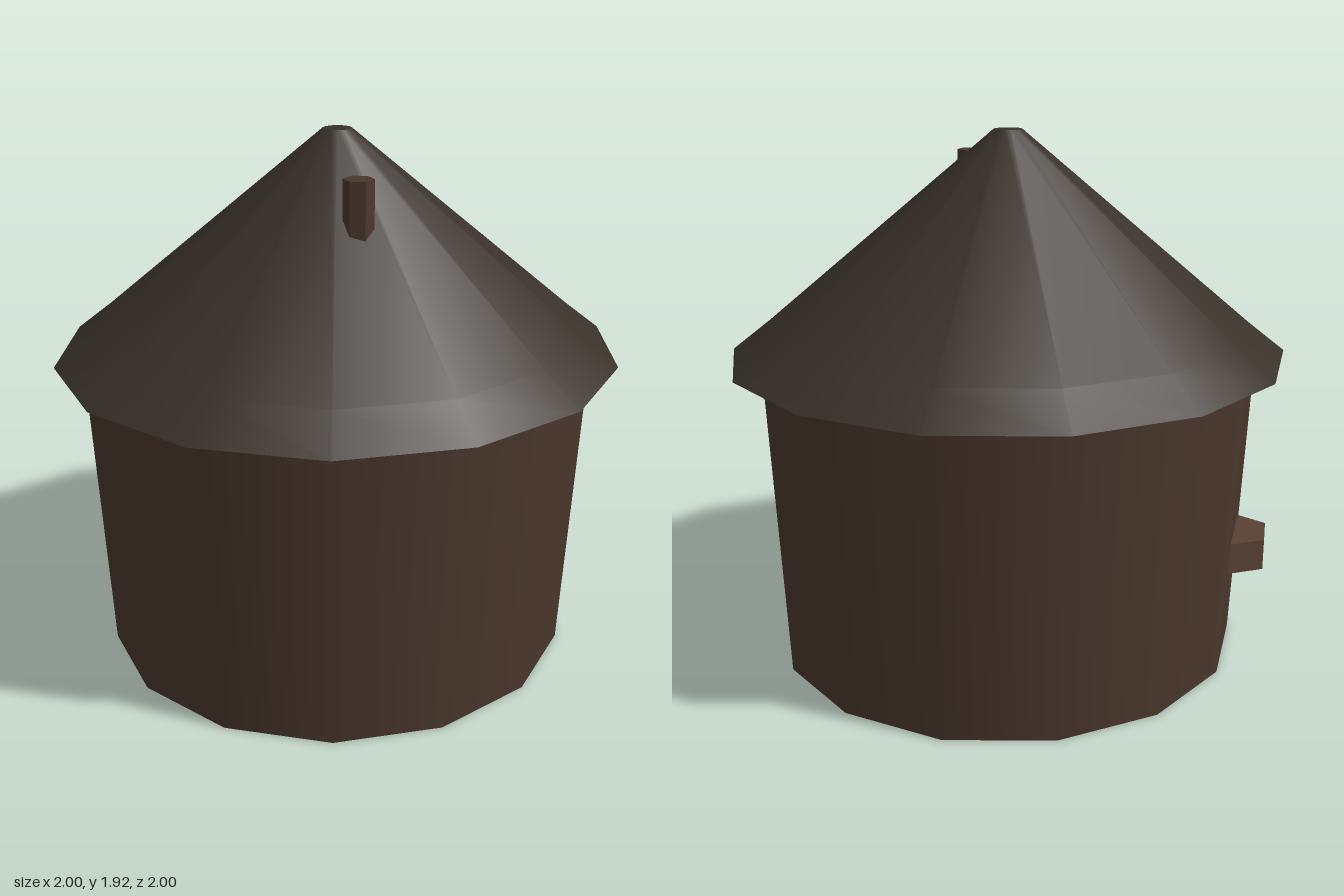
import * as THREE from 'three';

const SIDES = 14;
const STRETCH = 1 / Math.cos(Math.PI / SIDES); // brings the side flats out to the full width

export function createModel() {
  const group = new THREE.Group();
  const wood = new THREE.MeshStandardMaterial({ color: 0x4a372d });
  const thatch = new THREE.MeshStandardMaterial({ color: 0x39312a });
  const shelfWood = new THREE.MeshStandardMaterial({ color: 0x5a4235 });
  thatch.side = THREE.DoubleSide;

  // Turned band from [radius, height] pairs, listed from the bottom outward and up
  function band(name, profile, material) {
    const points = profile.map(([r, y]) => new THREE.Vector2(r, y));
    const mesh = new THREE.Mesh(new THREE.LatheGeometry(points, SIDES), material);
    mesh.scale.x = STRETCH;
    mesh.name = name;
    group.add(mesh);
  }

  // Hexagonal prism with flat faces
  function hexPrism(name, radius, bottom, top, x, z, turn, material) {
    const geometry = new THREE.CylinderGeometry(radius, radius, top - bottom, 6).toNonIndexed();
    geometry.computeVertexNormals();
    const mesh = new THREE.Mesh(geometry, material);
    mesh.position.set(x, (top + bottom) / 2, z);
    mesh.rotation.y = turn;
    mesh.name = name;
    group.add(mesh);
  }

  // Round hut body, slightly wider at the top
  band('floor', [[0, 0], [0.85, 0]], wood);
  band('wall', [[0.85, 0], [0.9, 1.125]], wood);

  // Conical roof with overhanging eaves and a small flat tip
  band('roofUnderside', [[0.88, 1.122], [1, 1.122]], thatch);
  band('roof', [[1, 1.122], [0.865, 1.23], [0.05, 1.925]], thatch);
  band('roofTip', [[0.05, 1.925], [0, 1.925]], thatch);

  // Chimney pipe on the front slope
  hexPrism('chimney', 0.053, 1.55, 1.82, -0.08, 0.333, 0, wood);

  // Half-sunk hexagonal shelf on the rear wall
  const angle = Math.atan2(-0.59, -0.685);
  hexPrism('shelf', 0.16, 0.365, 0.48, 0.83 * Math.sin(angle), 0.83 * Math.cos(angle),
    angle + Math.PI / 6, shelfWood);

  return group;
}
